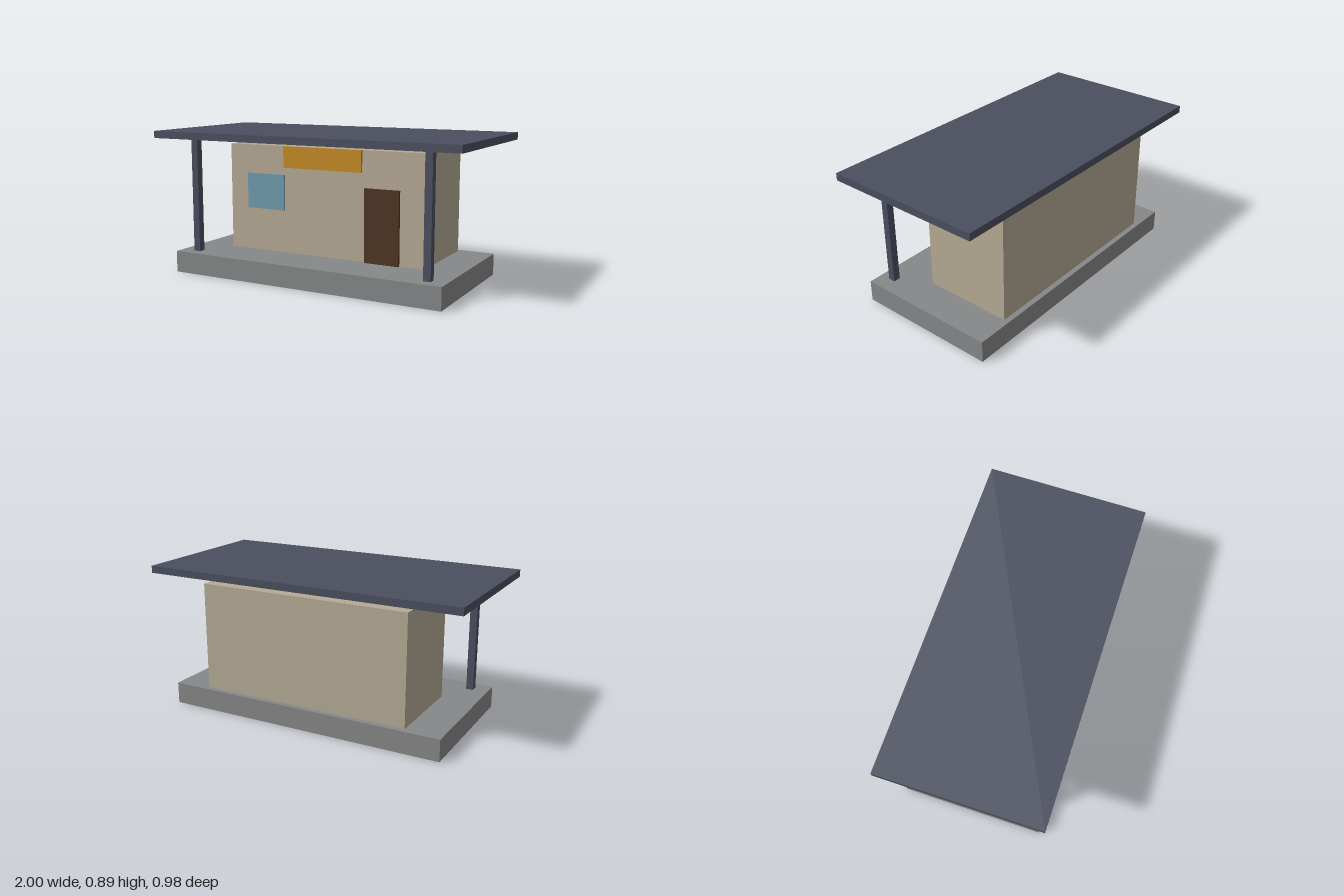
import * as THREE from 'three';

const material = (name, color) => {
  const m = new THREE.MeshStandardMaterial({ color });
  m.name = name;
  return m;
};

export function createModel() {
  const group = new THREE.Group();
  group.name = 'kiosk';

  const concrete = material('concrete grey', 0x868788);
  const plaster = material('plaster beige', 0xb5aa95);
  const slate = material('slate blue', 0x4a4e5e);
  const wood = material('dark wood', 0x4e3320);
  const glass = material('window blue', 0x729cae);
  const amber = material('sign amber', 0xc48a1f);

  // Box given by its [min, max] range on each axis
  const block = (name, mat, [x0, x1], [y0, y1], [z0, z1]) => {
    const mesh = new THREE.Mesh(new THREE.BoxGeometry(x1 - x0, y1 - y0, z1 - z0), mat);
    mesh.position.set((x0 + x1) / 2, (y0 + y1) / 2, (z0 + z1) / 2);
    mesh.name = name;
    group.add(mesh);
  };

  const floor = 0.133, wallTop = 0.8, roofBase = 0.845, wallFront = 0.144;

  // Main masses
  block('foundation', concrete, [-0.889, 0.889], [0, floor], [-0.444, 0.444]);
  block('walls', plaster, [-0.667, 0.667], [floor, wallTop], [-0.411, wallFront]);
  block('roof', slate, [-1, 1], [roofBase, 0.889], [-0.489, 0.489]);

  // Porch posts
  for (const [name, x] of [['leftPost', 0.778], ['rightPost', -0.778]]) {
    block(name, slate, [x - 0.022, x + 0.022], [floor, roofBase], [0.334, 0.378]);
  }

  // Front wall details
  block('door', wood, [0.289, 0.511], [floor, 0.578], [wallFront, 0.16]);
  block('window', glass, [-0.534, -0.267], [0.4, 0.622], [wallFront, 0.157]);
  block('signBoard', amber, [-0.267, 0.267], [0.668, wallTop], [wallFront, 0.16]);

  return group;
}
